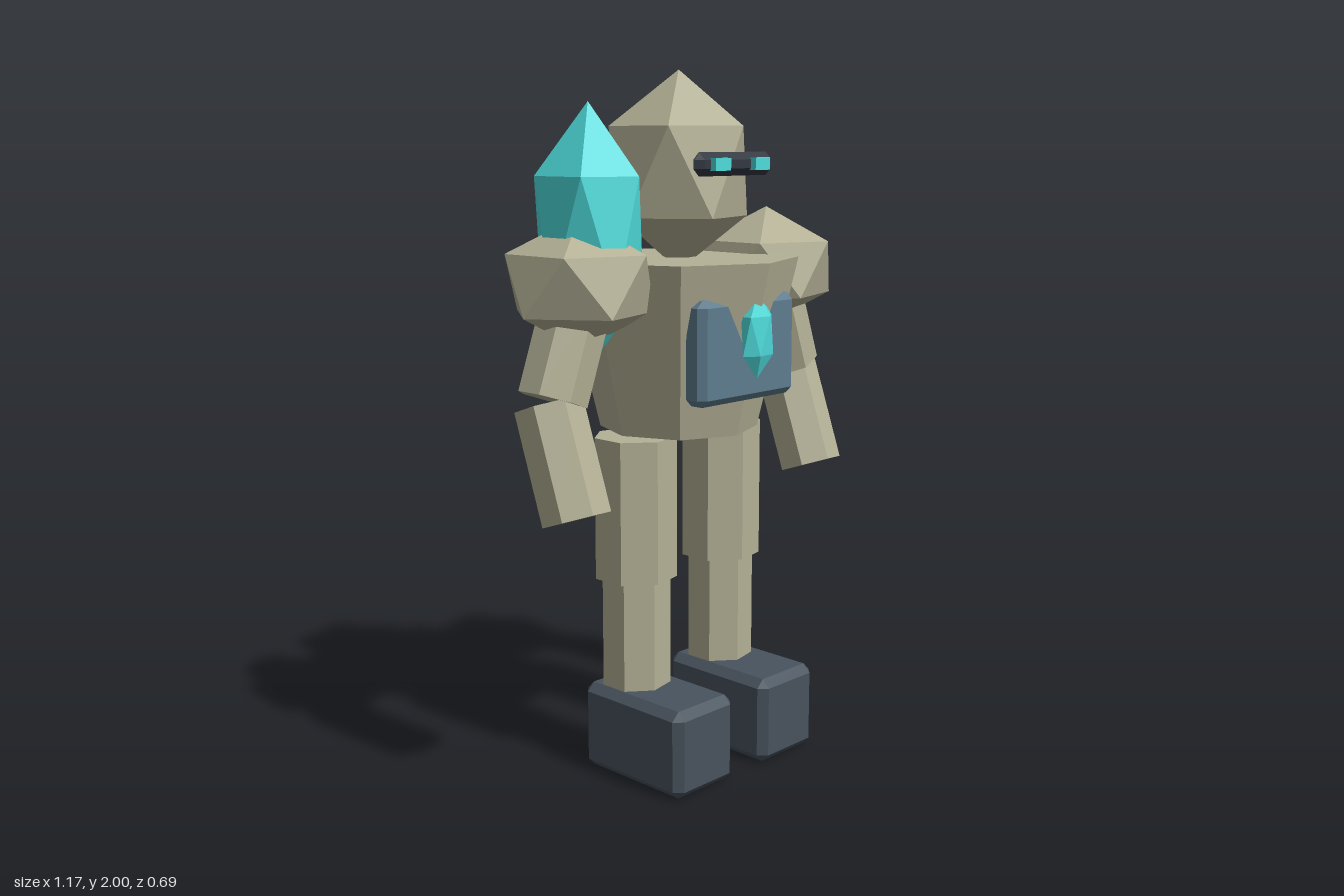
import * as THREE from 'three';
import { ConvexGeometry } from 'three/addons/geometries/ConvexGeometry.js';

const mat = (name, color) => {
  const m = new THREE.MeshStandardMaterial({ color });
  m.name = name;
  return m;
};

// Faceted normals for every part
function flat(geometry) {
  const g = geometry.index ? geometry.toNonIndexed() : geometry;
  g.computeVertexNormals();
  return g;
}

// Twenty-sided rock standing on a corner, stretched to three radii
function rock(rx, ry, rz) {
  const g = new THREE.IcosahedronGeometry(1, 0);
  g.rotateZ(-Math.atan(2 / (1 + Math.sqrt(5))));
  g.scale(rx, ry, rz);
  return flat(g);
}

// Box with every edge and corner cut by c
function chamferBox(w, h, d, c) {
  const points = [];
  for (const sx of [-1, 1]) for (const sy of [-1, 1]) for (const sz of [-1, 1]) {
    const x = w / 2, y = h / 2, z = d / 2;
    points.push(
      new THREE.Vector3(sx * x, sy * (y - c), sz * (z - c)),
      new THREE.Vector3(sx * (x - c), sy * y, sz * (z - c)),
      new THREE.Vector3(sx * (x - c), sy * (y - c), sz * z));
  }
  return flat(new ConvexGeometry(points));
}

export function createModel() {
  const stone = mat('stone', 0xb4b196);
  const slate = mat('slate', 0x48535e);
  const plate = mat('chest plate blue', 0x5f7c8e);
  const dark = mat('visor dark', 0x333842);
  const crystal = mat('crystal cyan', 0x4fdcdc);

  const model = new THREE.Group();
  model.name = 'golem';

  function add(name, geometry, material, x, y, z) {
    const mesh = new THREE.Mesh(geometry, material);
    mesh.name = name;
    mesh.position.set(x, y, z);
    model.add(mesh);
    return mesh;
  }

  // Seven-sided limb running from top point a to bottom point b
  function limb(name, a, b, radius) {
    const top = new THREE.Vector3(...a), bottom = new THREE.Vector3(...b);
    const axis = top.clone().sub(bottom);
    const g = new THREE.CylinderGeometry(radius, radius, axis.length(), 7);
    g.rotateY(Math.PI / 2);
    const mid = top.add(bottom).multiplyScalar(0.5);
    const mesh = add(name, flat(g), stone, mid.x, mid.y, mid.z);
    mesh.quaternion.setFromUnitVectors(new THREE.Vector3(0, 1, 0), axis.normalize());
  }

  // Head and torso
  add('head', rock(0.222, 0.28, 0.222), stone, 0, 1.72, 0);
  add('torso', flat(new THREE.CylinderGeometry(0.343, 0.228, 0.49, 8)), stone, 0, 1.235, 0);

  // Visor with two glowing eyes
  add('visor', chamferBox(0.31, 0.064, 0.042, 0.02), dark, 0, 1.743, 0.206);
  for (const s of [-1, 1]) {
    add(s > 0 ? 'leftEye' : 'rightEye', flat(new THREE.BoxGeometry(0.06, 0.034, 0.03)),
      crystal, s * 0.08, 1.743, 0.23);
  }

  // Chest plate and gem
  add('chestPlate', chamferBox(0.39, 0.29, 0.08, 0.02), plate, 0, 1.24, 0.237);
  add('chestGem', rock(0.065, 0.12, 0.034), crystal, 0, 1.28, 0.3);

  // Large crystal growing through the right shoulder
  add('shoulderCrystal', rock(0.155, 0.352, 0.175), crystal, -0.345, 1.556, 0);

  // Arms and legs
  for (const s of [-1, 1]) {
    const side = s > 0 ? 'left' : 'right';
    add(side + 'Shoulder', rock(0.224, 0.18, 0.224), stone, s * 0.38, 1.43, 0);
    limb(side + 'UpperArm', [s * 0.375, 1.43, 0], [s * 0.485, 1.125, 0], 0.097);
    limb(side + 'Forearm', [s * 0.49, 1.11, -0.01], [s * 0.49, 0.813, 0.096], 0.096);
    limb(side + 'Thigh', [s * 0.178, 0.985, 0], [s * 0.178, 0.575, 0], 0.12);
    limb(side + 'Shin', [s * 0.178, 0.6, 0], [s * 0.178, 0.23, 0], 0.1);
    add(side + 'Foot', chamferBox(0.235, 0.255, 0.39, 0.024), slate, s * 0.178, 0.1275, 0.09);
  }
  return model;
}
